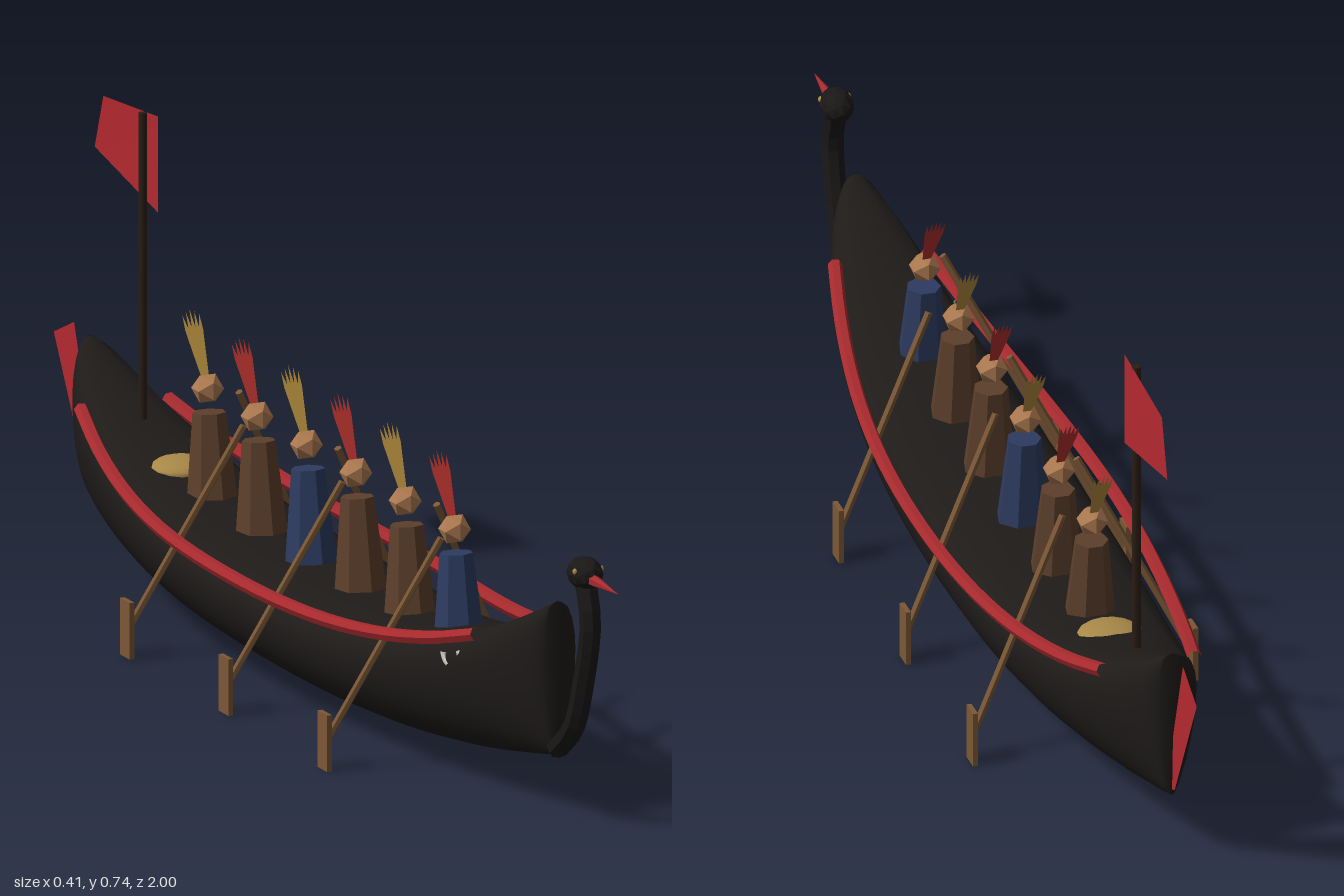
import * as THREE from 'three';

const V = (x, y, z) => new THREE.Vector3(x, y, z);
const mat = (color, extra = {}) => new THREE.MeshStandardMaterial({ color, ...extra });
const flat = { flatShading: true };
const thin = { side: THREE.DoubleSide };

const M = {
  hull: mat(0x1e1b19),
  bird: mat(0x1a1817, flat),
  red: mat(0xa82a2e, flat),
  cloth: mat(0xb3282f, thin),
  brown: mat(0x5c3f2b, flat),
  blue: mat(0x2c3b60, flat),
  skin: mat(0xb07c52, flat),
  wood: mat(0x7c5836, flat),
  gold: mat(0xa88848),
  white: mat(0xd8d4cc),
  pole: mat(0x2a1d14),
  redFeather: mat(0xb8322f, thin),
  goldFeather: mat(0xb8913f, thin),
};

function add(parent, name, geometry, material, pos = [0, 0, 0]) {
  const mesh = new THREE.Mesh(geometry, material);
  mesh.name = name;
  mesh.position.set(...pos);
  parent.add(mesh);
  return mesh;
}

// Cylinder running between two points
function rod(parent, name, a, b, r, material, sides = 6) {
  const d = b.clone().sub(a);
  const mesh = add(parent, name, new THREE.CylinderGeometry(r, r, d.length(), sides), material);
  mesh.position.copy(a).addScaledVector(d, 0.5);
  mesh.quaternion.setFromUnitVectors(V(0, 1, 0), d.normalize());
  return mesh;
}

// Flat polygon from 3D corners, fanned from the first corner
function panel(parent, name, corners, material) {
  const g = new THREE.BufferGeometry().setFromPoints(corners);
  const index = [];
  for (let i = 1; i < corners.length - 1; i++) index.push(0, i, i + 1);
  g.setIndex(index);
  g.computeVertexNormals();
  return add(parent, name, g, material);
}

// Decked hull lofted from stem to stern; u runs 1 .. -1
const MID = -0.043, HALF = 0.828;
const sheer = u => 0.18 + 0.15 * Math.abs(u) ** 3;
const keel = u => 0.02 + 0.08 * Math.abs(u) ** 2.5;
const beam = u => 0.018 + 0.119 * (1 - u * u) ** 0.58;

function hullGeometry() {
  const side = [];
  for (let i = 0; i <= 8; i++) {
    const a = (i / 8) * Math.PI / 2;
    side.push([Math.sin(a), 0.73 * (1 - Math.cos(a))]);
  }
  side.push([0.97, 0.84], [0.88, 0.93], [0.7, 1], [0.35, 1.03], [0, 1.04]);
  const ring = side.concat(side.slice(1, -1).reverse().map(([x, y]) => [-x, y]));
  const n = ring.length, rows = 48, pos = [], index = [];
  for (let j = 0; j <= rows; j++) {
    const u = Math.cos((j / rows) * Math.PI);
    for (const [x, y] of ring) {
      pos.push(x * beam(u), keel(u) + y * (sheer(u) - keel(u)), MID + HALF * u);
    }
  }
  for (let j = 0; j < rows; j++) {
    for (let i = 0; i < n; i++) {
      const a = j * n + i, b = j * n + (i + 1) % n;
      index.push(a, a + n, b, b, a + n, b + n);
    }
  }
  // End caps
  for (const [row, s] of [[0, 1], [rows, -1]]) {
    const c = pos.length / 3, start = row * n;
    pos.push(0, 0.22, MID + s * (HALF + 0.006));
    for (let i = 0; i < n; i++) {
      const a = start + i, b = start + (i + 1) % n;
      if (s > 0) index.push(c, a, b); else index.push(c, b, a);
    }
  }
  const g = new THREE.BufferGeometry();
  g.setAttribute('position', new THREE.Float32BufferAttribute(pos, 3));
  g.setIndex(index);
  g.computeVertexNormals();
  return g;
}

// Curved rail standing just off each side of the hull
function addRail(parent, s) {
  const pts = [];
  for (let i = 0; i <= 14; i++) {
    const v = i / 7 - 1;
    pts.push(V(s * (0.155 - 0.083 * v * v), 0.188 + 0.074 * Math.abs(v) ** 3, -0.05 + 0.7 * v));
  }
  const curve = new THREE.CatmullRomCurve3(pts);
  add(parent, s > 0 ? 'leftRail' : 'rightRail', new THREE.TubeGeometry(curve, 32, 0.011, 6), M.red);
}

// Seated paddler with robe, head, feather fan and paddle
function addPaddler(parent, i) {
  const g = new THREE.Group();
  g.name = 'paddler' + (i + 1);
  g.position.z = 0.42 - 0.175 * i;
  const robe = add(g, 'robe', new THREE.CylinderGeometry(0.026, 0.041, 0.15, 7),
    i % 3 === 0 ? M.blue : M.brown, [0, 0.25, 0.012]);
  robe.rotation.x = -0.08;
  add(g, 'head', new THREE.IcosahedronGeometry(0.025, 0), M.skin, [0, 0.36, 0]);

  // Feathers sweep up and back, ending in points
  const feather = i % 2 ? M.goldFeather : M.redFeather;
  const at = (x, t) => V(x, 0.37 + 0.098 * t, -0.005 - 0.06 * t);
  for (let k = -2; k <= 2; k++) {
    const x = k * 0.007;
    panel(g, 'feather', [at(k * 0.0018 - 0.002, 0), at(k * 0.0018 + 0.002, 0),
      at(x * 0.8 + 0.0035, 0.7), at(x, 1 - 0.04 * Math.abs(k)), at(x * 0.8 - 0.0035, 0.7)], feather);
  }

  const s = i % 2 ? 1 : -1;
  rod(g, 'paddleShaft', V(s * 0.037, 0.358, 0.032), V(s * 0.197, 0.045, -0.033), 0.006, M.wood);
  add(g, 'paddleBlade', new THREE.BoxGeometry(0.008, 0.088, 0.034), M.wood, [s * 0.199, 0.044, -0.035]);
  parent.add(g);
}

// Long-necked bird at the bow
function addFigurehead(parent) {
  const g = new THREE.Group();
  g.name = 'birdFigurehead';
  const neck = new THREE.CatmullRomCurve3([V(0, 0.11, 0.785), V(0, 0.16, 0.845), V(0, 0.24, 0.88),
    V(0, 0.33, 0.903), V(0, 0.37, 0.895), V(0, 0.405, 0.88)]);
  add(g, 'neck', new THREE.TubeGeometry(neck, 12, 0.017, 7), M.bird);
  add(g, 'neckFoot', new THREE.IcosahedronGeometry(0.018, 0), M.bird, [0, 0.112, 0.787]);
  add(g, 'head', new THREE.IcosahedronGeometry(0.026, 1), M.bird, [0, 0.407, 0.882]).scale.z = 1.4;
  const bill = add(g, 'bill', new THREE.ConeGeometry(0.011, 0.1, 6), M.red, [0, 0.403, 0.95]);
  bill.rotation.x = Math.PI / 2;
  for (const s of [-1, 1]) {
    add(g, 'eye', new THREE.SphereGeometry(0.005, 8, 6), M.gold, [s * 0.021, 0.414, 0.893]);
  }
  parent.add(g);
}

export function createModel() {
  const model = new THREE.Group();
  model.name = 'paddledCanoe';
  add(model, 'hull', hullGeometry(), M.hull);
  addFigurehead(model);

  for (const s of [-1, 1]) {
    addRail(model, s);
    // Pale crescent marking on the bow
    const mark = add(model, 'bowCrescent', new THREE.TorusGeometry(0.019, 0.006, 6, 16, Math.PI * 1.15),
      M.white, [s * 0.083, 0.218, 0.59]);
    mark.rotation.set(0, Math.PI / 2 - s * 0.25, Math.PI * 0.85, 'YXZ');
  }

  for (let i = 0; i < 6; i++) addPaddler(model, i);

  // Cargo bundle behind the last paddler
  const bundle = add(model, 'bundle', new THREE.SphereGeometry(0.052, 16, 10), M.gold, [0, 0.212, -0.55]);
  bundle.scale.y = 0.35;

  // Flag and tail fin at the stern
  rod(model, 'flagPole', V(0, 0.21, -0.685), V(0, 0.732, -0.685), 0.007, M.pole, 8);
  panel(model, 'flag', [V(0.007, 0.735, -0.645), V(0.007, 0.585, -0.645),
    V(0.007, 0.632, -0.87), V(0.005, 0.72, -0.835)], M.cloth);
  panel(model, 'tailFin', [V(0, 0.11, -0.872), V(0, 0.115, -0.885), V(0, 0.312, -1),
    V(0, 0.345, -0.928), V(0, 0.17, -0.865)], M.cloth);
  return model;
}
